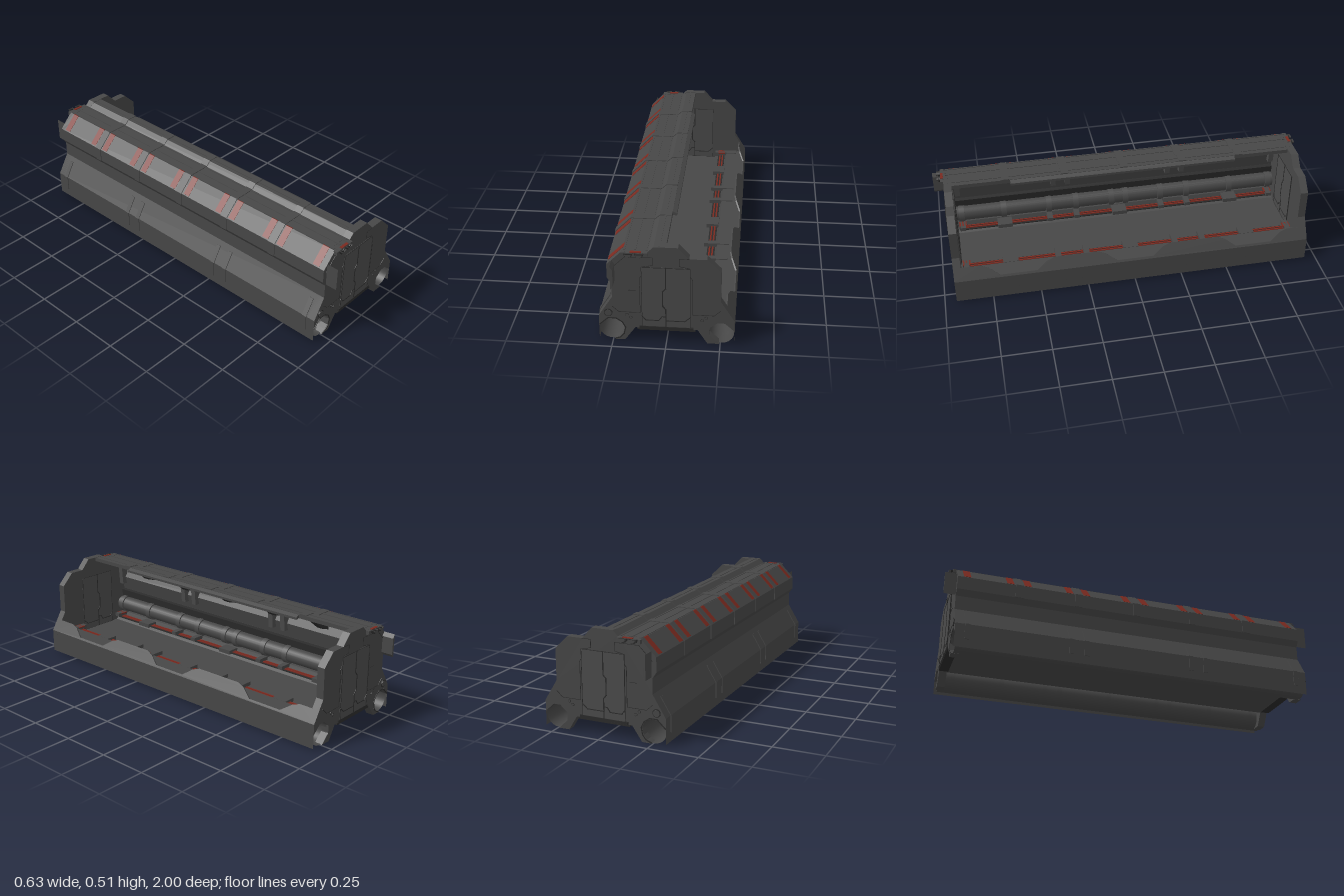
import * as THREE from 'three';

const mat = (name, color) => {
  const m = new THREE.MeshStandardMaterial({ color, side: THREE.DoubleSide });
  m.name = name;
  return m;
};

export function createModel() {
  const model = new THREE.Group();
  model.name = 'corridorSection';
  const hull = mat('hullGrey', 0x474747);
  const panel = mat('panelGrey', 0x4b4b4b);
  const trim = mat('darkTrim', 0x2b2b2b);
  const red = mat('redMarking', 0x7a2a20);

  const add = (name, geo, m) => {
    const mesh = new THREE.Mesh(geo, m);
    mesh.name = name;
    model.add(mesh);
  };
  // cross-section in x,y carried along z
  const prism = (name, m, pts, z0, z1) => {
    const shape = new THREE.Shape(pts.map(p => new THREE.Vector2(p[0], p[1])));
    const geo = new THREE.ExtrudeGeometry(shape, { depth: Math.abs(z1 - z0), bevelEnabled: false });
    geo.translate(0, 0, Math.min(z0, z1));
    add(name, geo, m);
  };
  const box = (name, m, w, h, d, x, y, z) =>
    add(name, new THREE.BoxGeometry(w, h, d).translate(x, y, z), m);
  const rod = (name, m, r, len, x, y, z, sides = 24) =>
    add(name, new THREE.CylinderGeometry(r, r, len, sides).rotateX(Math.PI / 2).translate(x, y, z), m);
  // lower half of a rod
  const halfRod = (name, m, r, len, x, y, z) =>
    add(name, new THREE.CylinderGeometry(r, r, len, 16, 1, false, -Math.PI / 2, Math.PI)
      .rotateX(Math.PI / 2).translate(x, y, z), m);
  // open thin-walled tube
  const tube = (name, m, r, len, x, y, z) =>
    add(name, new THREE.CylinderGeometry(r, r, len, 32, 1, true).rotateX(Math.PI / 2).translate(x, y, z), m);
  // thin seam following a polyline on an end wall
  const seam = (pts, w, z) => {
    for (let i = 1; i < pts.length; i++) {
      const [ax, ay] = pts[i - 1], [bx, by] = pts[i];
      const geo = new THREE.BoxGeometry(Math.hypot(bx - ax, by - ay) + w, w, 0.004);
      geo.rotateZ(Math.atan2(by - ay, bx - ax)).translate((ax + bx) / 2, (ay + by) / 2, z);
      add('panelSeam', geo, trim);
    }
  };
  const flip = pts => pts.map(([x, y]) => [-x, y]);
  // closed strip of even thickness along an open polyline, offset to its left
  const strip = (pts, t) => {
    const inner = pts.map((p, i) => {
      const a = pts[Math.max(i - 1, 0)], b = pts[Math.min(i + 1, pts.length - 1)];
      const l = Math.hypot(b[0] - a[0], b[1] - a[1]);
      return [p[0] - (b[1] - a[1]) / l * t, p[1] + (b[0] - a[0]) / l * t];
    });
    return [...pts, ...inner.reverse()];
  };

  // End walls with feet, wings and doors
  const endProfile = [
    [-0.245, 0], [-0.195, 0], [-0.145, 0.072], [0.145, 0.072], [0.19, 0], [0.245, 0],
    [0.197, 0.045], [0.197, 0.085], [0.235, 0.116], [0.27, 0.116], [0.315, 0.075],
    [0.315, 0.13], [0.25, 0.235], [0.25, 0.39], [0.185, 0.455], [0.105, 0.455],
    [0.055, 0.51], [-0.055, 0.51], [-0.08, 0.485], [-0.195, 0.485], [-0.27, 0.41],
    [-0.27, 0.34], [-0.25, 0.31], [-0.25, 0.235], [-0.315, 0.13], [-0.315, 0.075],
    [-0.275, 0.116], [-0.235, 0.116], [-0.208, 0.098], [-0.195, 0.07], [-0.203, 0.035], [-0.22, 0.015]];
  const doorOutline = [[-0.112, 0.085], [0.11, 0.085], [0.11, 0.405], [-0.112, 0.405]];
  for (const s of [1, -1]) {
    prism('endWall', hull, endProfile, s * 0.9, s * 0.94);
    prism('outerDoor', panel, doorOutline, s * 0.938, s * 0.944);
    prism('innerDoor', panel, doorOutline, s * 0.896, s * 0.902);
    for (const z of [s * 0.944, s * 0.896]) {
      seam([[-0.002, 0.405], [-0.002, 0.295], [-0.016, 0.28], [-0.016, 0.2], [-0.002, 0.182], [-0.002, 0.085]], 0.005, z);
      seam([[-0.112, 0.142], [-0.095, 0.12], [-0.035, 0.12], [-0.02, 0.142], [-0.002, 0.142]], 0.004, z);
      seam([[-0.002, 0.12], [0.085, 0.12], [0.11, 0.143]], 0.004, z);
      seam([...doorOutline, doorOutline[0]], 0.002, z);
    }
    const side = [[0.11, 0.36], [0.121, 0.345], [0.121, 0.157], [0.22, 0.157], [0.25, 0.185]];
    const top = [[0.11, 0.405], [0.061, 0.415], [0.061, 0.455], [0.105, 0.455]];
    for (const line of [side, top]) {
      seam(line, 0.002, s * 0.94);
      seam(flip(line), 0.002, s * 0.94);
    }
    seam([[-0.172, 0.278], [-0.138, 0.278]], 0.002, s * 0.94);
    seam([[-0.25, 0.39], [-0.185, 0.455], [-0.105, 0.455]], 0.002, s * 0.94);
    seam([[-0.24, 0.004], [-0.215, 0.014], [-0.198, 0.035], [-0.191, 0.07], [-0.206, 0.1], [-0.235, 0.12], [-0.272, 0.12], [-0.312, 0.082]], 0.005, s * 0.94);
    box('threshold', trim, 0.25, 0.012, 0.05, 0, 0.08, s * 0.922);
    box('lowerThreshold', trim, 0.27, 0.008, 0.05, 0, 0.069, s * 0.92);

    // Socket, bolts, roof pipe stubs and side handle
    rod('socketRim', trim, 0.02, 0.008, -0.27, 0.15, s * 0.94);
    rod('socketFace', hull, 0.016, 0.012, -0.27, 0.15, s * 0.94);
    for (const x of [-0.183, -0.165, 0.165, 0.183]) {
      const y = Math.abs(x) > 0.17 ? 0.143 : 0.128;
      rod('boltRim', trim, 0.008, 0.003, x, y, s * 0.94, 8);
      rod('bolt', hull, 0.006, 0.005, x, y, s * 0.94, 8);
    }
    for (const x of [-0.167, -0.118]) {
      halfRod('roofPipeRim', trim, 0.02, 0.035, x, 0.485, s * 0.948);
      halfRod('roofPipeStub', hull, 0.015, 0.06, x, 0.486, s * 0.945);
    }
    box('roofEndCap', hull, 0.12, 0.02, 0.02, -0.14, 0.475, s * 0.946);
    box('roofEndMarking', red, 0.05, 0.003, 0.014, -0.135, 0.4865, s * 0.948);
    prism('sideHandle', hull, [[-0.246, 0.315], [-0.234, 0.33], [-0.234, 0.415], [-0.246, 0.435]], s * 0.94, s);
    for (const x of [-0.17, 0.17]) for (const k of [0, 1, 2])
      box('floorMarking', red, 0.04, 0.006, 0.008, x, 0.13, s * (0.885 - k * 0.016));
  }

  // Floor with chamfered edges
  prism('floor', hull, [[-0.15, 0.068], [0.15, 0.068], [0.21, 0.095], [0.21, 0.105],
    [0.18, 0.105], [0.15, 0.085], [-0.15, 0.085], [-0.18, 0.105], [-0.21, 0.105], [-0.21, 0.095]], -0.9, 0.9);

  // Open tubes under both sides, benches, red strips and skirts
  const clampZ = [-0.87, -0.39, -0.24, 0.24, 0.39, 0.87];
  for (const s of [1, -1]) {
    tube('lowerTube', hull, 0.059, 1.86, s * 0.255, 0.0595, 0);
    for (const z of [-0.86, -0.6, -0.36, -0.28, 0, 0.28, 0.36, 0.6, 0.86]) {
      tube('tubeRib', hull, 0.0605, 0.024, s * 0.2545, 0.061, z);
    }
    prism('bench', hull, [[s * 0.19, 0.1], [s * 0.2, 0.128], [s * 0.305, 0.128], [s * 0.29, 0.118], [s * 0.23, 0.118]], -0.9, 0.9);
    for (const z of clampZ) box('benchBracket', hull, 0.13, 0.02, 0.03, s * 0.195, 0.123, z);
    for (const z of [-0.64, 0, 0.64]) box('benchCoupling', hull, 0.065, 0.022, 0.08, s * 0.163, 0.115, z);
    for (const x of [0.16, 0.176]) box('redStrip', red, 0.008, 0.006, 1.76, s * x, 0.112, 0);
    box('stripBed', trim, 0.04, 0.006, 1.78, s * 0.168, 0.107, 0);
    add('outerSkirt', new THREE.PlaneGeometry(1.88, 0.125).rotateY(s * Math.PI / 2).translate(s * 0.3148, 0.0675, 0), hull);
  }

  // Conduit with clamps on the closed side
  rod('conduit', hull, 0.042, 1.8, -0.21, 0.18, 0);
  for (const z of [...clampZ, -0.64, -0.04, 0.04, 0.64])
    rod('conduitClamp', panel, 0.049, 0.03, -0.21, 0.18, z);

  // Low side wall with scalloped top
  const low = new THREE.Shape();
  low.moveTo(-0.94, 0);
  low.lineTo(0.94, 0);
  low.lineTo(0.94, 0.07);
  for (const c of [0.61, 0, -0.64]) {
    low.lineTo(c + 0.19, 0.07);
    low.lineTo(c + 0.15, 0.055);
    low.lineTo(c + 0.095, 0.012);
    low.lineTo(c - 0.095, 0.012);
    low.lineTo(c - 0.15, 0.055);
    low.lineTo(c - 0.19, 0.07);
  }
  low.lineTo(-0.94, 0.07);
  const lowGeo = new THREE.ExtrudeGeometry(low, { depth: 0.008, bevelEnabled: false });
  lowGeo.applyMatrix4(new THREE.Matrix4().makeBasis(
    new THREE.Vector3(0, 0, 1), new THREE.Vector3(-0.526, 0.85, 0), new THREE.Vector3(-0.85, -0.526, 0)
  ).setPosition(0.315, 0.13, 0));
  add('scallopedWall', lowGeo, hull);

  // Full side wall with paired ribs and inner lining
  const wall = [[-0.315, 0.13], [-0.25, 0.235], [-0.25, 0.32]];
  prism('sideWall', hull, strip(wall, -0.008), -0.94, 0.94);
  prism('innerLining', hull, [[-0.24, 0.22], [-0.225, 0.25], [-0.225, 0.27], [-0.205, 0.35], [-0.235, 0.4]], -0.9, 0.9);
  prism('liningLedge', trim, [[-0.24, 0.225], [-0.21, 0.225], [-0.205, 0.265], [-0.23, 0.27]], -0.9, 0.9);
  for (const z of [-0.88, -0.36, -0.28, 0.28, 0.36, 0.88]) {
    prism('wallRib', hull, strip([[-0.315, 0.05], [-0.315, 0.13], [-0.265, 0.211]], 0.004), z - 0.012, z + 0.012);
    prism('innerPillar', panel, [[-0.225, 0.31], [-0.185, 0.31], [-0.175, 0.43], [-0.22, 0.43]], z - 0.014, z + 0.014);
  }

  // Half roof
  const roofLine = [[-0.25, 0.31], [-0.27, 0.34], [-0.27, 0.41], [-0.195, 0.485], [-0.08, 0.485], [-0.055, 0.508], [0, 0.508]];
  prism('roof', hull, [...roofLine, [0, 0.488], [-0.045, 0.488], [-0.075, 0.455],
    [-0.185, 0.45], [-0.235, 0.4], [-0.235, 0.31]], -0.94, 0.94);
  prism('roofLip', hull, [[-0.01, 0.49], [0.02, 0.484], [0.02, 0.496], [0, 0.506]], -0.6, 0.6);
  for (const [x, y] of [[-0.188, 0.485], [-0.14, 0.485], [-0.088, 0.485], [-0.03, 0.508]])
    box('roofRail', hull, 0.008, 0.005, 1.86, x, y, 0);

  // Roof bands, ceiling brackets and red markings
  for (const z of [-0.625, -0.315, 0, 0.315, 0.625]) {
    prism('roofBand', hull, strip(roofLine.slice(1), 0.004), z - 0.02, z + 0.02);
    prism('ceilingBracket', trim, [[-0.2, 0.385], [-0.15, 0.4], [-0.06, 0.47], [-0.07, 0.48], [-0.2, 0.45]], z - 0.018, z + 0.018);
  }
  for (const z of [0.05, 0.27, 0.36, 0.58, 0.67, 0.89]) for (const s of [1, -1]) {
    prism('roofMarking', red, strip([[-0.266, 0.414], [-0.195, 0.485], [-0.185, 0.485]], 0.0015), s * z - 0.018, s * z + 0.018);
    prism('ceilingMarking', red, strip([[-0.232, 0.402], [-0.185, 0.449]], -0.003), s * z - 0.018, s * z + 0.018);
  }
  return model;
}
